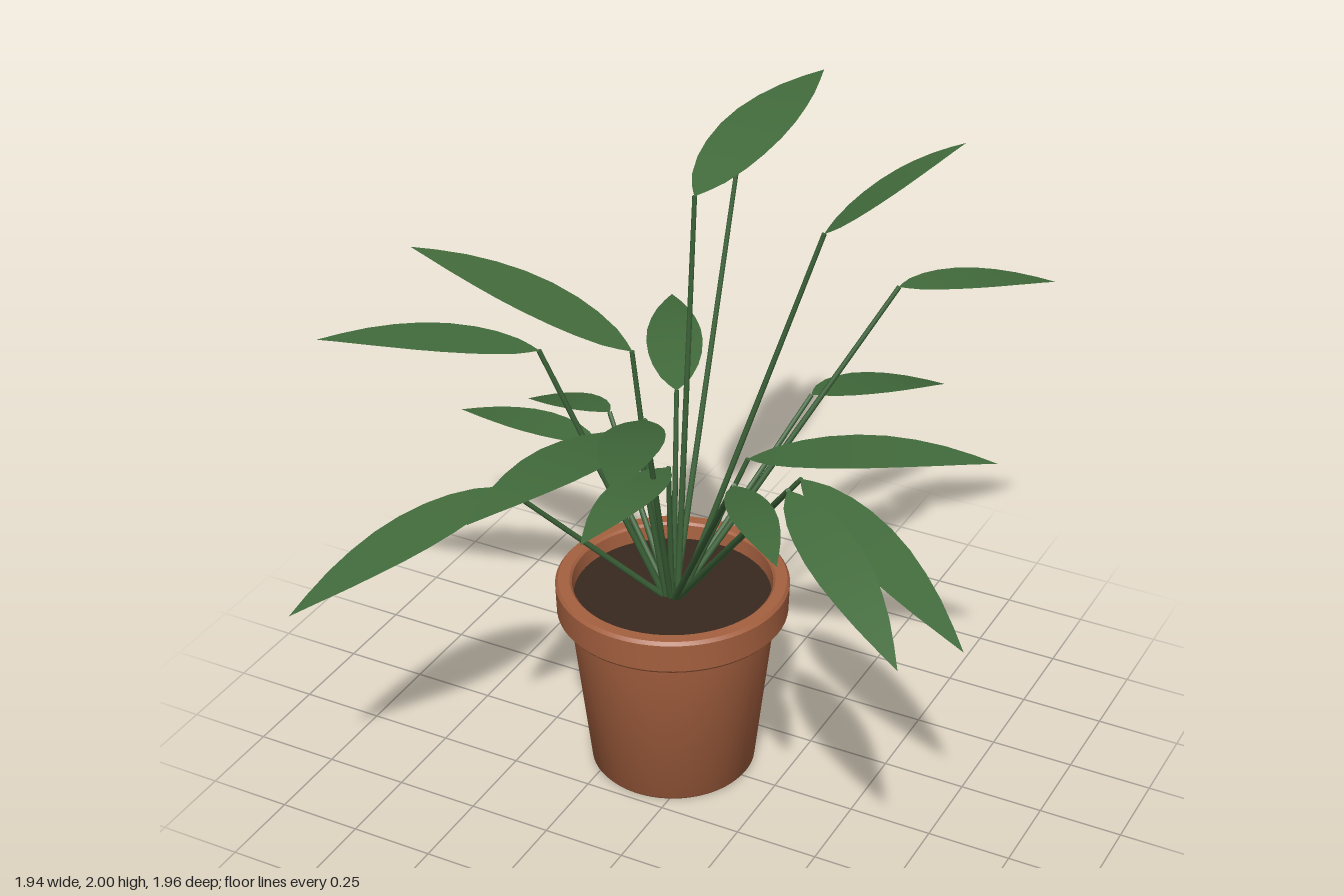
import * as THREE from 'three';
import { toCreasedNormals } from 'three/addons/utils/BufferGeometryUtils.js';

const material = (name, color, side = THREE.FrontSide) => {
  const m = new THREE.MeshStandardMaterial({ color, side });
  m.name = name;
  return m;
};

// Pot axis and soil height
const CX = -0.1, CZ = -0.015, SOIL = 0.58;

// Each leaf: where it joins its stem, then its tip
const LEAVES = [
  [[-0.13, 1.75, -0.48], [-0.2, 1.73, -0.95]],
  [[-0.08, 1.82, -0.12], [-0.03, 1.93, -0.84]],
  [[0.13, 1.08, -0.46], [0.34, 0.91, -0.98]],
  [[0.38, 1.48, -0.49], [0.71, 1.4, -0.87]],
  [[0.275, 1.75, -0.2], [0.59, 2.0, -0.41]],
  [[0.12, 1.07, -0.06], [0.8, 1.145, -0.24]],
  [[0.37, 1.17, 0.12], [0.95, 0.91, 0.33]],
  [[0.51, 1.38, 0.5], [0.97, 1.17, 0.83]],
  [[0.42, 1.44, 0.63], [0.7, 1.47, 0.96]],
  [[-0.02, 1.34, 0.29], [0.2, 1.48, 0.86]],
  [[-0.05, 1.08, 0.1], [-0.04, 1.12, 0.62]],
  [[-0.14, 1.18, 0.12], [-0.265, 1.23, 0.82]],
  [[-0.4, 1.085, 0.41], [-0.745, 0.89, 0.98]],
  [[-0.4, 1.415, 0.2], [-0.97, 1.425, 0.445]],
  [[-0.4, 1.02, -0.19], [-0.8, 0.86, -0.39]],
  [[-0.39, 0.97, -0.09], [-0.89, 0.92, -0.15]],
  [[-0.2, 1.38, 0.03], [-0.885, 1.57, 0.08]],
  [[-0.16, 1.17, -0.16], [-0.46, 1.16, -0.7]],
];

// Half-width of the blade along its length, as [position, share of the widest]
const OUTLINE = [
  [0, 0.02], [0.04, 0.26], [0.1, 0.54], [0.2, 0.8], [0.3, 0.94], [0.42, 1],
  [0.54, 0.95], [0.66, 0.8], [0.78, 0.58], [0.9, 0.28], [1, 0],
];

// Flat lance-shaped blade that arches gently from base to tip
function leafGeometry(base, tip) {
  const along = tip.clone().sub(base);
  const length = along.length();
  const left = new THREE.Vector3(0, 1, 0).cross(along).normalize();
  const positions = [], index = [];
  OUTLINE.forEach(([t, w], i) => {
    const mid = base.clone().addScaledVector(along, t);
    mid.y += 0.045 * length * 4 * t * (1 - t);
    for (const s of [1, -1]) {
      positions.push(...mid.clone().addScaledVector(left, s * w * 0.135 * length));
    }
    if (i > 0) {
      const a = 2 * i - 2;
      index.push(a, a + 1, a + 3, a, a + 3, a + 2);
    }
  });
  const g = new THREE.BufferGeometry();
  g.setAttribute('position', new THREE.Float32BufferAttribute(positions, 3));
  g.setIndex(index);
  g.computeVertexNormals();
  return g;
}

// Straight thin stalk between two points
function stemMesh(from, to, mat) {
  const dir = to.clone().sub(from);
  const mesh = new THREE.Mesh(new THREE.CylinderGeometry(0.007, 0.01, dir.length(), 8), mat);
  mesh.position.copy(from).addScaledVector(dir, 0.5);
  mesh.quaternion.setFromUnitVectors(new THREE.Vector3(0, 1, 0), dir.normalize());
  return mesh;
}

export function createModel() {
  const terracotta = material('terracotta', 0xa5603f);
  const earth = material('dark soil', 0x38291f);
  const leafGreen = material('leaf green', 0x426b3c, THREE.DoubleSide);
  const stemGreen = material('stem green', 0x3c6238);

  const model = new THREE.Group();
  model.name = 'pottedPlant';

  // Tapered pot with a thick collar and an open top
  const profile = [
    [0, 0], [0.238, 0], [0.246, 0.01], [0.304, 0.525], [0.335, 0.525], [0.341, 0.533],
    [0.344, 0.622], [0.336, 0.632], [0.302, 0.632], [0.295, 0.625], [0.29, 0.57],
  ].map(([r, y]) => new THREE.Vector2(r, y));
  const pot = new THREE.Mesh(toCreasedNormals(new THREE.LatheGeometry(profile, 64), 0.6), terracotta);
  pot.name = 'pot';
  pot.position.set(CX, 0, CZ);
  model.add(pot);

  // Soil surface inside the collar
  const soil = new THREE.Mesh(new THREE.CylinderGeometry(0.292, 0.285, 0.02, 64), earth);
  soil.name = 'soil';
  soil.position.set(CX, SOIL - 0.01, CZ);
  model.add(soil);

  // Stems fan out from the middle of the soil, one leaf on each
  const stems = new THREE.Group();
  stems.name = 'stems';
  const leaves = new THREE.Group();
  leaves.name = 'leaves';
  LEAVES.forEach(([b, t], i) => {
    const base = new THREE.Vector3(...b), tip = new THREE.Vector3(...t);
    const heading = Math.atan2(b[2] - CZ, b[0] - CX);
    const root = new THREE.Vector3(
      CX + 0.025 * Math.cos(heading), SOIL - 0.01, CZ + 0.025 * Math.sin(heading));
    const stem = stemMesh(root, base, stemGreen);
    stem.name = `stem${i + 1}`;
    stems.add(stem);
    const leaf = new THREE.Mesh(leafGeometry(base, tip), leafGreen);
    leaf.name = `leaf${i + 1}`;
    leaves.add(leaf);
  });
  model.add(stems, leaves);
  return model;
}
